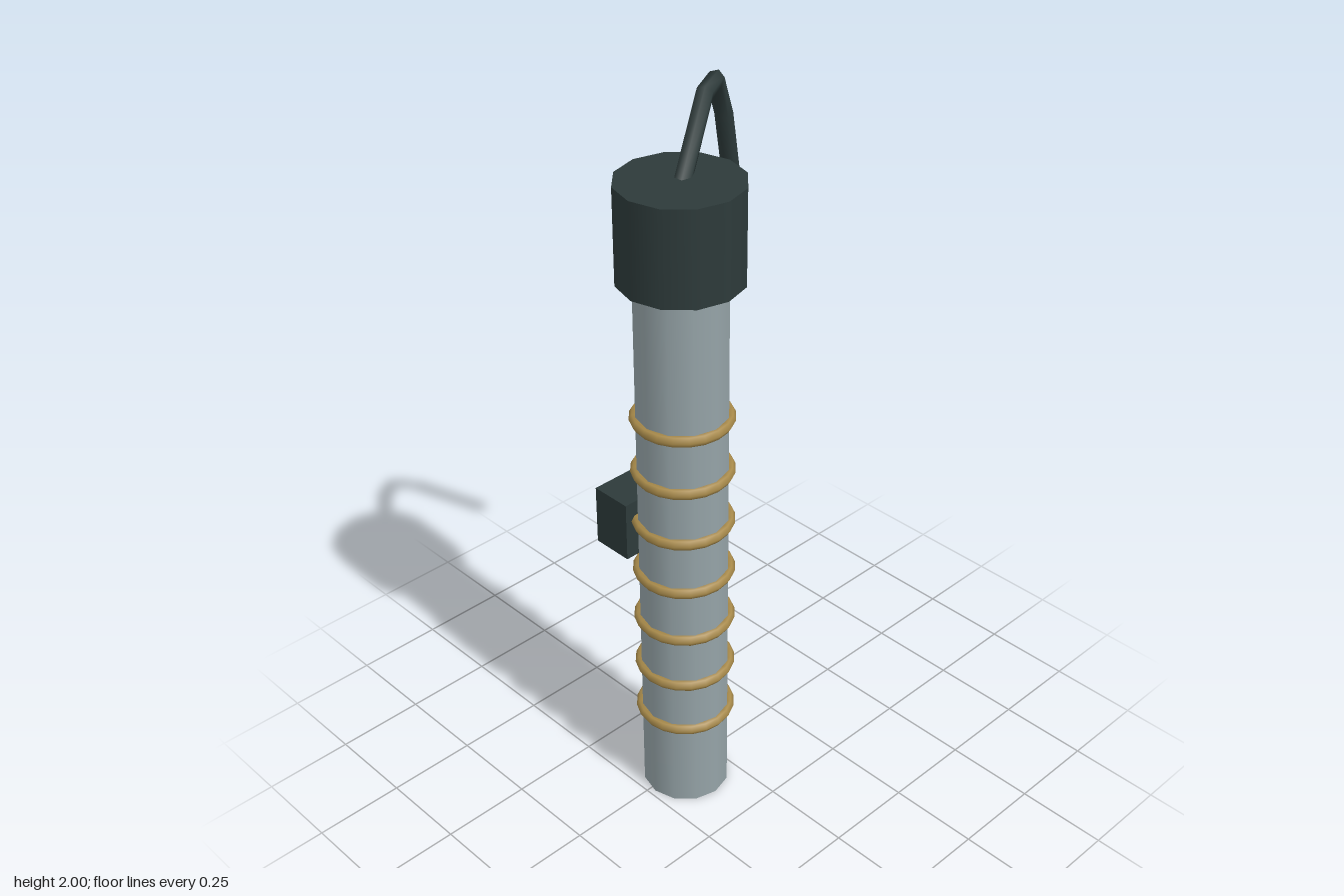
import * as THREE from 'three';

export function createModel() {
  const model = new THREE.Group();
  const mat = (name, color, side = THREE.FrontSide) => {
    const m = new THREE.MeshStandardMaterial({ color, side });
    m.name = name;
    return m;
  };
  const steel = mat('pale steel', 0x95a3a7);
  const dark = mat('dark rubber', 0x2d3a3a, THREE.DoubleSide);
  const brass = mat('brass', 0xa88a4a);

  const add = (parent, name, geometry, material, x, y, z) => {
    const mesh = new THREE.Mesh(geometry, material);
    mesh.name = name;
    mesh.position.set(x, y, z);
    parent.add(mesh);
    return mesh;
  };

  // everything upright shares one axis
  const body = new THREE.Group();
  body.name = 'body';
  body.position.set(-0.114, 0, 0.016);
  model.add(body);

  add(body, 'tube', new THREE.CylinderGeometry(0.12, 0.12, 1.7, 12), steel, 0, 0.85, 0);
  add(body, 'cap', new THREE.CylinderGeometry(0.161, 0.161, 0.253, 12), dark, 0, 1.7015, 0);
  add(body, 'rearBlock', new THREE.BoxGeometry(0.253, 0.168, 0.116), dark, 0, 0.855, -0.138);

  // coil rings
  const ringGeometry = new THREE.TorusGeometry(0.1195, 0.0155, 6, 20).rotateX(Math.PI / 2);
  for (let i = 0; i < 7; i++) {
    add(body, `ring${i + 1}`, ringGeometry, brass, 0, 0.263 + i * 0.155, 0);
  }

  // bent cable, one tube section per path point
  const points = [
    [-0.114, 1.80, 0.016], [0.05, 1.966, -0.072], [0.112, 1.976, -0.1],
    [0.163, 1.87, -0.123], [0.208, 1.69, -0.142], [0.25, 1.518, -0.155],
  ].map((p) => new THREE.Vector3(...p));
  const path = new THREE.CatmullRomCurve3(points);
  path.getUtoTmapping = (u) => u;
  add(model, 'cable', new THREE.TubeGeometry(path, points.length - 1, 0.023, 6), dark, 0, 0, 0);

  // cable end face
  const endCap = add(model, 'cableEnd', new THREE.CircleGeometry(0.022, 6), dark, ...points.at(-1).toArray());
  endCap.lookAt(points.at(-1).clone().add(path.getTangent(1)));

  return model;
}
